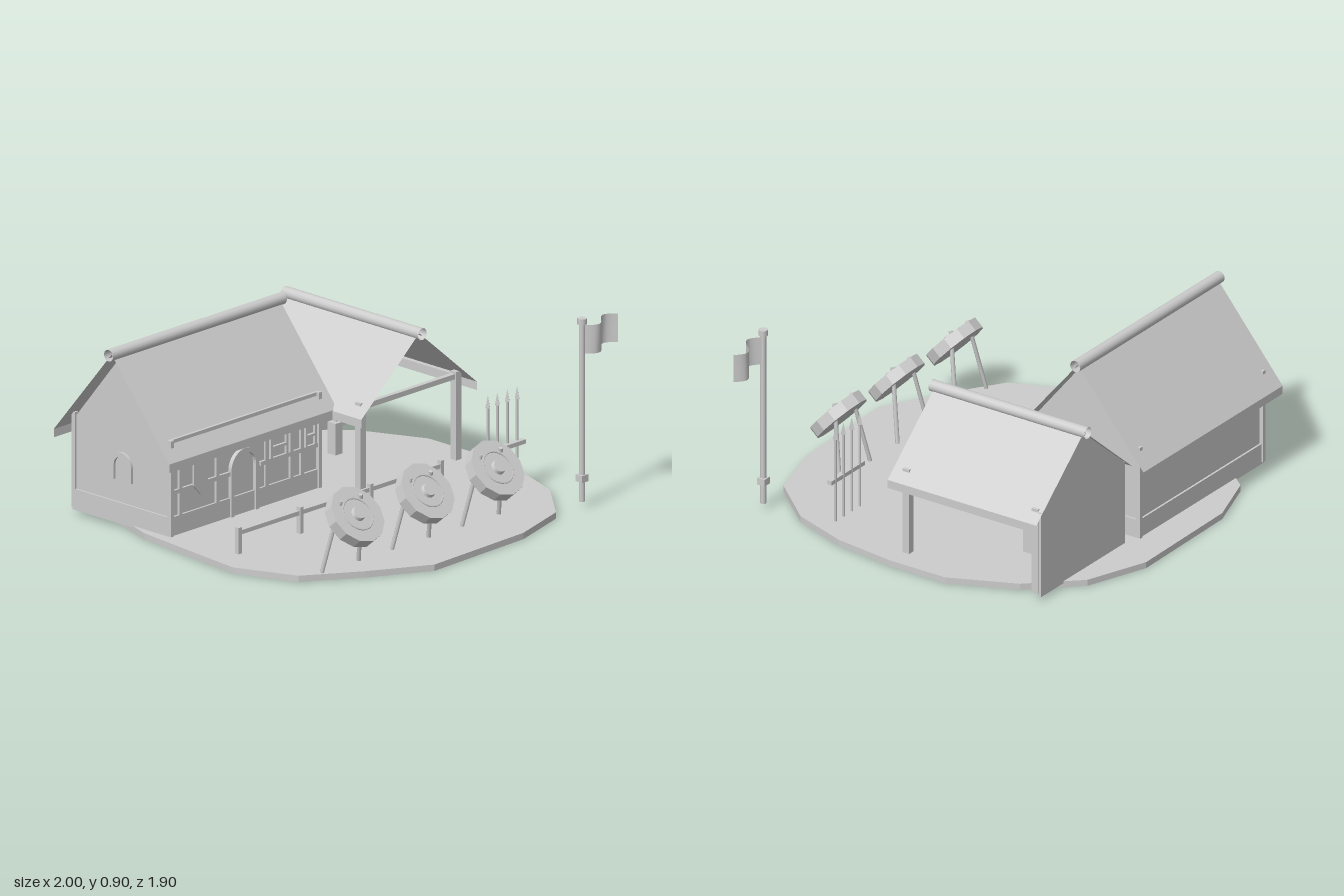
import * as THREE from 'three';

const grey = new THREE.MeshStandardMaterial({ color: 0xcccccc, side: THREE.DoubleSide });
grey.name = 'plain grey';

const V = (x, y, z) => new THREE.Vector3(x, y, z);

function add(parent, name, geometry, x = 0, y = 0, z = 0) {
  const mesh = new THREE.Mesh(geometry, grey);
  mesh.name = name;
  mesh.position.set(x, y, z);
  parent.add(mesh);
  return mesh;
}

// Box given by its limits on each axis
function box(parent, name, x0, x1, y0, y1, z0, z1) {
  return add(parent, name, new THREE.BoxGeometry(x1 - x0, y1 - y0, z1 - z0),
    (x0 + x1) / 2, (y0 + y1) / 2, (z0 + z1) / 2);
}

// Round bar between two points
function bar(parent, name, a, b, r, sides = 8, open = false) {
  const mesh = add(parent, name, new THREE.CylinderGeometry(r, r, a.distanceTo(b), sides, 1, open));
  mesh.position.copy(a).add(b).multiplyScalar(0.5);
  mesh.quaternion.setFromUnitVectors(V(0, 1, 0), b.clone().sub(a).normalize());
  return mesh;
}

function flat(geometry) {
  const g = geometry.toNonIndexed();
  g.computeVertexNormals();
  return g;
}

// Sheet from four corners
function sheet(parent, name, a, b, c, d) {
  const g = new THREE.BufferGeometry().setFromPoints([a, b, c, a, c, d]);
  g.computeVertexNormals();
  return add(parent, name, g);
}

// Pitched roof along x, centred on its ridge: two slopes, hanging eaves and an open ridge roll
function roof(parent, name, halfLength, halfWidth, ridgeY, eaveY, rollR) {
  const g = new THREE.Group();
  g.name = name;
  const L = halfLength;
  for (const s of [-1, 1]) {
    const w = s * halfWidth;
    const p = [V(-L, eaveY, w), V(L, eaveY, w), V(L, ridgeY, 0), V(-L, ridgeY, 0)];
    if (s < 0) p.reverse();
    sheet(g, 'roofSlope', ...p);
    const e = [V(-L, eaveY - 0.04, w), V(L, eaveY - 0.04, w), V(L, eaveY, w), V(-L, eaveY, w)];
    if (s < 0) e.reverse();
    sheet(g, 'eave', ...e);
  }
  bar(g, 'ridgeRoll', V(-L - 0.02, ridgeY, 0), V(L + 0.02, ridgeY, 0), rollR, 16, true);
  parent.add(g);
  return g;
}

// Triangular wall in the xy plane
function gable(parent, halfWidth, baseY, topY, depth) {
  const s = new THREE.Shape([new THREE.Vector2(-halfWidth, baseY),
    new THREE.Vector2(halfWidth, baseY), new THREE.Vector2(0, topY)]);
  return add(parent, 'gable', new THREE.ExtrudeGeometry(s, { depth, bevelEnabled: false }));
}

// Arched frame standing on its feet, centred on x = 0, facing +z
function arch(parent, name, outer, inner, legs, depth) {
  const s = new THREE.Shape();
  s.moveTo(-outer, 0);
  s.lineTo(-outer, legs);
  s.absarc(0, legs, outer, Math.PI, 0, true);
  s.lineTo(outer, 0);
  s.lineTo(inner, 0);
  s.lineTo(inner, legs);
  s.absarc(0, legs, inner, 0, Math.PI, false);
  s.lineTo(-inner, 0);
  return add(parent, name, new THREE.ExtrudeGeometry(s, { depth, bevelEnabled: false, curveSegments: 8 }));
}

function buildHall(root) {
  const g = new THREE.Group();
  g.name = 'hall';
  box(g, 'walls', -0.88, 0.08, 0.03, 0.46, -0.78, -0.19);
  box(g, 'plinth', -0.89, 0.09, 0.02, 0.12, -0.79, -0.18);
  roof(g, 'hallRoof', 0.545, 0.362, 0.838, 0.4, 0.028).position.set(-0.4, 0, -0.492);
  for (const x of [-0.88, 0.07]) {
    const t = gable(g, 0.295, 0.46, 0.825, 0.01);
    t.rotation.y = Math.PI / 2;
    t.position.set(x, 0, -0.487);
  }
  // Corner posts and the wall plate
  for (const x of [-0.88, 0.08]) {
    for (const z of [-0.785, -0.185]) box(g, 'cornerPost', x - 0.01, x + 0.01, 0.03, 0.485, z - 0.012, z + 0.012);
  }
  box(g, 'wallPlate', -0.88, 0.08, 0.46, 0.485, -0.2, -0.186);
  // Timber framing on the front
  for (const x of [-0.82, -0.58, -0.26, -0.1, -0.03]) box(g, 'stud', x - 0.01, x + 0.01, 0.12, 0.45, -0.19, -0.178);
  for (const [a, b] of [[-0.88, -0.5], [-0.3, 0.08]]) box(g, 'rail', a, b, 0.225, 0.245, -0.19, -0.178);
  box(g, 'headRail', -0.88, 0.08, 0.35, 0.37, -0.19, -0.178);
  arch(g, 'doorFrame', 0.09, 0.07, 0.22, 0.02).position.set(-0.41, 0.03, -0.19);
  for (const [x, w] of [[-0.18, 0.05], [0.025, 0.03]]) {
    for (const s of [-1, 1]) box(g, 'windowJamb', x + s * w - 0.006, x + s * w + 0.006, 0.24, 0.34, -0.19, -0.176);
    box(g, 'windowBar', x - w, x + w, 0.286, 0.298, -0.19, -0.176);
  }
  const hang = new THREE.Shape([[-0.045, 0.36], [-0.045, 0.24], [0, 0.19], [0.045, 0.24], [0.045, 0.36]]
    .map(p => new THREE.Vector2(...p)));
  add(g, 'wallHanging', new THREE.ExtrudeGeometry(hang, { depth: 0.009, bevelEnabled: false }), -0.7, 0, -0.178);
  // Arched end openings
  for (const s of [-1, 1]) {
    const a = arch(g, 'endArch', 0.065, 0.045, 0.07, 0.012);
    a.rotation.y = s * Math.PI / 2;
    a.position.set(s > 0 ? 0.08 : -0.88, 0.225, -0.485);
  }
  root.add(g);
}

function buildShed(root) {
  const g = new THREE.Group();
  g.name = 'openShed';
  const r = roof(g, 'shedRoof', 0.41, 0.375, 0.718, 0.397, 0.028);
  r.rotation.y = Math.PI / 2;
  r.position.set(0.49, 0, -0.36);
  for (const x of [0.18, 0.8]) {
    for (const z of [-0.71, 0.0]) box(g, 'post', x - 0.018, x + 0.018, 0.03, 0.45, z - 0.035, z);
    box(g, 'sideBeam', x - 0.012, x + 0.012, 0.41, 0.435, -0.74, -0.01);
  }
  box(g, 'tieBeam', 0.18, 0.8, 0.415, 0.44, -0.03, -0.006);
  box(g, 'backWall', 0.165, 0.82, 0.02, 0.44, -0.765, -0.75);
  gable(g, 0.32, 0.44, 0.71, 0.015).position.set(0.49, 0, -0.765);
  // Working block under the roof
  box(g, 'block', 0.455, 0.5, 0.03, 0.18, -0.49, -0.44);
  box(g, 'blockUpright', 0.478, 0.492, 0.03, 0.27, -0.48, -0.46);
  root.add(g);
}

function buildShield(root, x) {
  const g = new THREE.Group();
  g.name = 'shieldOnStand';
  g.position.x = x;
  const disc = new THREE.Group();
  disc.name = 'shield';
  disc.position.set(0, 0.287, 0.75);
  disc.rotation.x = 0.84;
  add(disc, 'shieldBody', flat(new THREE.CylinderGeometry(0.143, 0.143, 0.055, 12)));
  const ring = add(disc, 'shieldRing', new THREE.TorusGeometry(0.08, 0.004, 4, 20), 0, 0.028, 0);
  ring.rotation.x = Math.PI / 2;
  add(disc, 'boss', new THREE.CylinderGeometry(0.03, 0.036, 0.016, 12), 0, 0.034, 0);
  g.add(disc);
  for (const s of [-1, 1]) bar(g, 'leg', V(s * 0.065, 0.372, 0.725), V(s * 0.12, 0.03, 0.66), 0.01, 6);
  root.add(g);
}

function buildFlag(root) {
  const g = new THREE.Group();
  g.name = 'flagpole';
  g.position.set(0.765, 0, 0.805);
  bar(g, 'pole', V(0, 0.03, 0), V(0, 0.885, 0), 0.014, 10);
  bar(g, 'poleCap', V(0, 0.872, 0), V(0, 0.9, 0), 0.022, 10);
  box(g, 'collar', -0.021, 0.021, 0.125, 0.158, -0.021, 0.021);
  const cloth = new THREE.PlaneGeometry(0.222, 0.136, 12, 1);
  const p = cloth.attributes.position;
  for (let i = 0; i < p.count; i++) p.setZ(i, 0.04 * Math.sin((p.getX(i) / 0.222 + 0.5) * Math.PI * 2));
  cloth.computeVertexNormals();
  add(g, 'flag', cloth, 0.124, 0.797, 0);
  root.add(g);
}

export function createModel() {
  const root = new THREE.Group();
  root.name = 'homestead';

  // Irregular ground slab
  const outline = [[-1, 0.32], [-0.88, 0.615], [-0.62, 0.79], [-0.34, 0.947], [0.26, 0.925], [0.57, 0.83],
    [0.78, 0.59], [0.88, 0.31], [0.92, 0], [0.92, -0.305], [0.78, -0.62], [0.572, -0.845], [0.27, -0.957],
    [-0.34, -0.947], [-0.62, -0.85], [-0.83, -0.6], [-0.93, -0.3], [-0.965, 0]];
  const slab = new THREE.ExtrudeGeometry(new THREE.Shape(outline.map(([x, z]) => new THREE.Vector2(x, -z))),
    { depth: 0.03, bevelEnabled: false });
  add(root, 'ground', slab.rotateX(-Math.PI / 2));

  buildHall(root);
  buildShed(root);

  // Low fence
  for (const x of [-0.84, -0.44, 0.015, 0.475]) box(root, 'fencePost', x - 0.01, x + 0.01, 0.03, 0.155, 0.19, 0.212);
  box(root, 'fenceRail', -0.84, 0.475, 0.118, 0.138, 0.195, 0.207);

  for (const x of [-0.655, -0.2, 0.255]) buildShield(root, x);

  // Spear rack
  box(root, 'rackBar', 0.505, 0.765, 0.222, 0.242, 0.428, 0.455);
  for (const x of [0.54, 0.602, 0.667, 0.73]) {
    bar(root, 'spearShaft', V(x, 0.03, 0.432), V(x, 0.45, 0.432), 0.007, 6);
    add(root, 'spearHead', flat(new THREE.ConeGeometry(0.014, 0.06, 4)), x, 0.47, 0.432);
  }

  buildFlag(root);
  return root;
}
